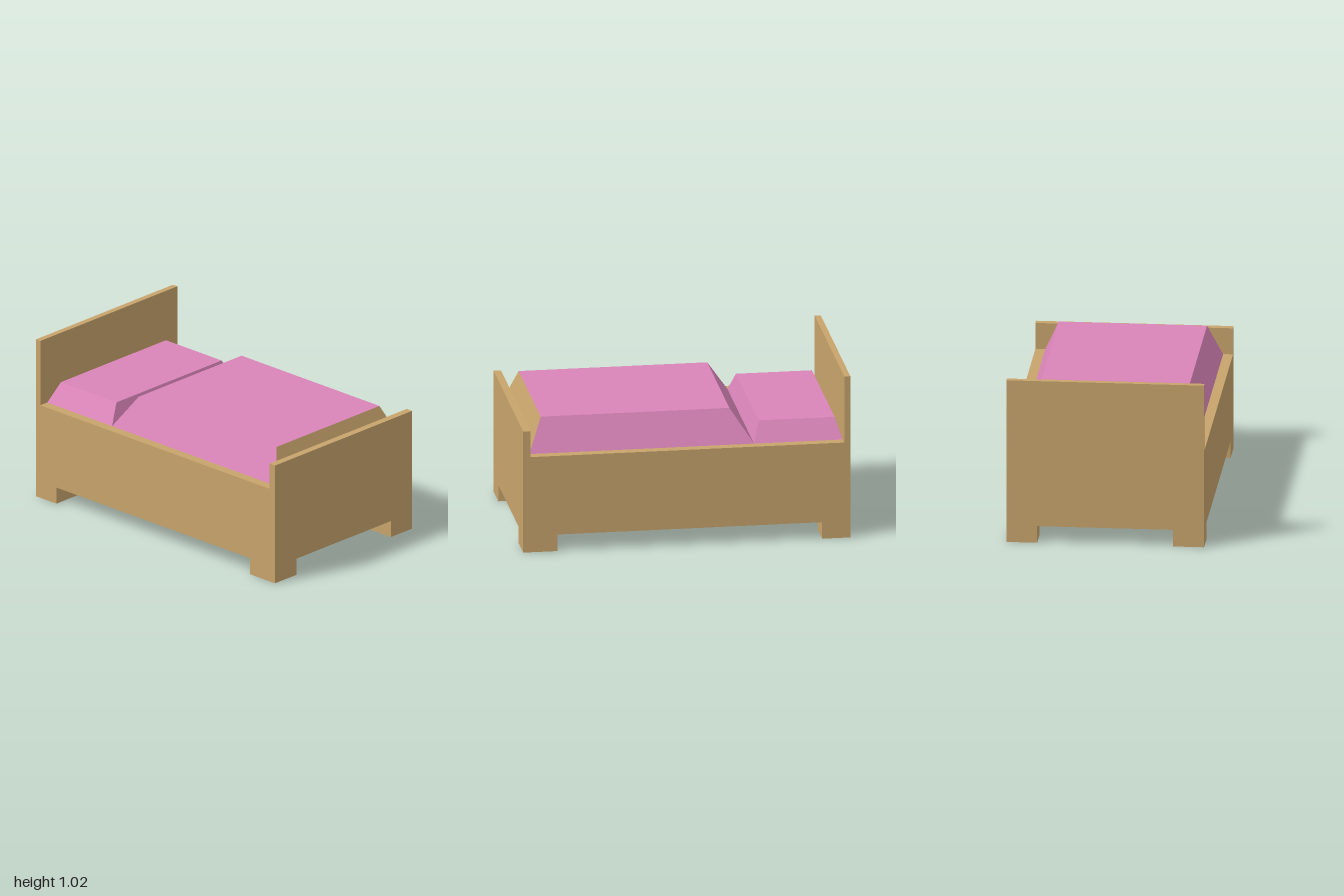
import * as THREE from 'three';

const wood = new THREE.MeshStandardMaterial({ color: 0xc8a46c, flatShading: true });
const pink = new THREE.MeshStandardMaterial({ color: 0xd985b8, flatShading: true });

// Box given by its limits on each axis
function block(name, [x0, x1], [y0, y1], [z0, z1]) {
  const geometry = new THREE.BoxGeometry(x1 - x0, y1 - y0, z1 - z0);
  geometry.translate((x0 + x1) / 2, (y0 + y1) / 2, (z0 + z1) / 2);
  const mesh = new THREE.Mesh(geometry, wood);
  mesh.name = name;
  return mesh;
}

// Box whose top is narrower than its base; each end is { y, x: half width, z: [back, front] }
function taperedBox(base, top) {
  const geometry = new THREE.BoxGeometry(1, 1, 1);
  const p = geometry.attributes.position;
  for (let i = 0; i < p.count; i++) {
    const end = p.getY(i) > 0 ? top : base;
    p.setXYZ(i, Math.sign(p.getX(i)) * end.x, end.y, end.z[p.getZ(i) > 0 ? 1 : 0]);
  }
  geometry.computeVertexNormals();
  return geometry;
}

// Keep only a range of the six box faces (order +x, -x, +y, -y, +z, -z)
function keepFaces(geometry, keep) {
  const index = Array.from(geometry.index.array);
  geometry.setIndex(index.filter((_, i) => keep(Math.floor(i / 6))));
  geometry.clearGroups();
  return geometry;
}

export function createModel() {
  const bed = new THREE.Group();
  bed.name = 'bed';
  const add = (name, geometry, material) => {
    const mesh = new THREE.Mesh(geometry, material);
    mesh.name = name;
    bed.add(mesh);
  };

  // Frame with head and foot boards
  bed.add(
    block('bedBase', [-0.6, 0.6], [0.105, 0.605], [-0.963, 0.955]),
    block('headboard', [-0.6, 0.6], [0.105, 1.025], [-1, -0.963]),
    block('footboard', [-0.6, 0.6], [0.105, 0.77], [0.955, 1])
  );

  // Corner legs
  for (const [side, x] of [['Left', [0.413, 0.6]], ['Right', [-0.6, -0.413]]]) {
    bed.add(block('front' + side + 'Leg', x, [0, 0.105], [0.79, 1]));
    bed.add(block('back' + side + 'Leg', x, [0, 0.105], [-1, -0.828]));
  }

  // Blanket, with a wood-coloured slope at the foot end
  const blanket = () => taperedBox(
    { y: 0.605, x: 0.54, z: [-0.42, 0.953] },
    { y: 0.81, x: 0.45, z: [-0.283, 0.87] }
  );
  add('blanket', keepFaces(blanket(), (f) => f !== 4), pink);
  add('blanketFootSlope', keepFaces(blanket(), (f) => f === 4), wood);

  // Pillow
  add('pillow', taperedBox(
    { y: 0.605, x: 0.54, z: [-0.962, -0.42] },
    { y: 0.725, x: 0.46, z: [-0.925, -0.46] }
  ), pink);

  return bed;
}
